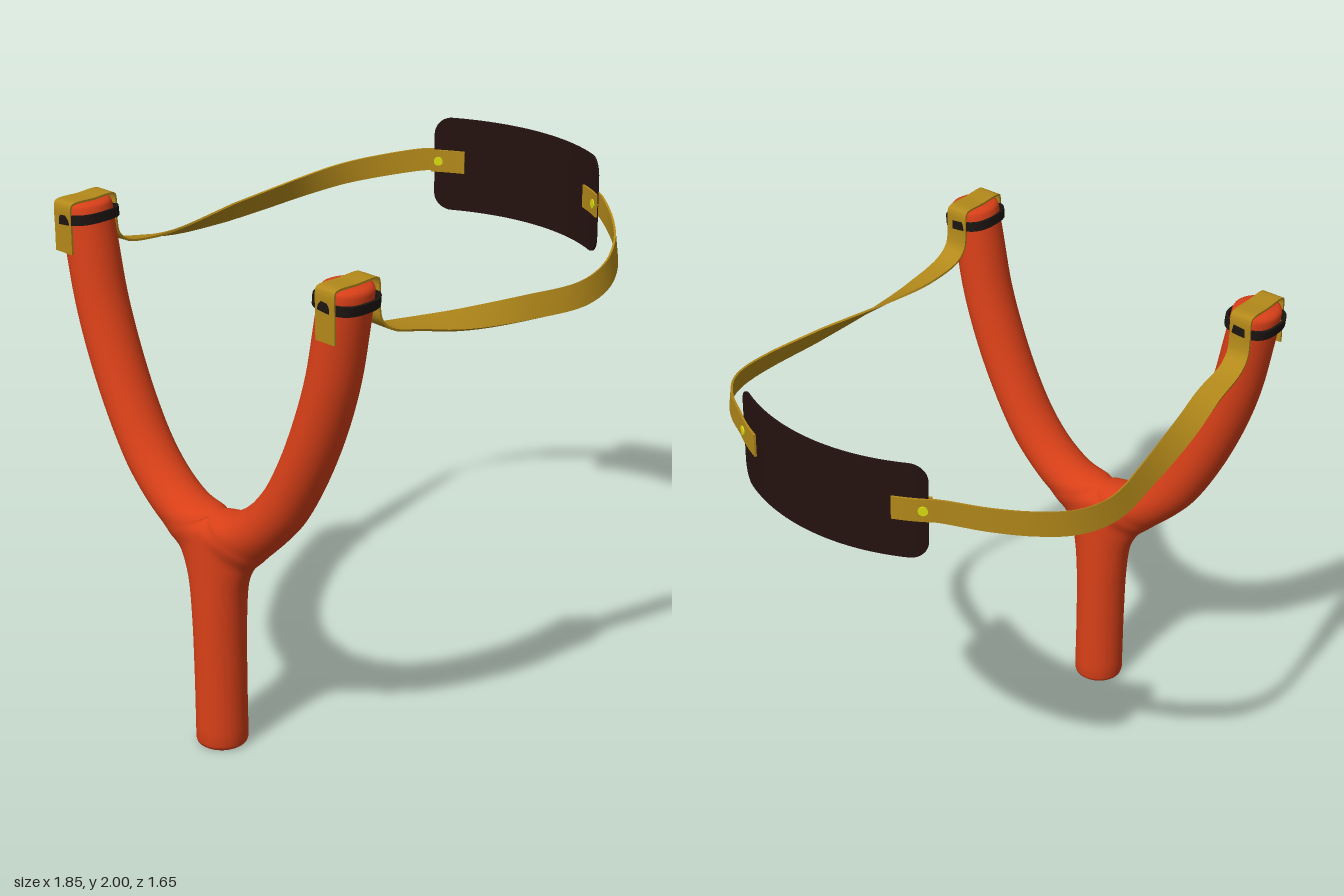
import * as THREE from 'three';
import { mergeVertices, toCreasedNormals } from 'three/addons/utils/BufferGeometryUtils.js';

const V = (x, y, z) => new THREE.Vector3(x, y, z);
const mat = (color) => new THREE.MeshStandardMaterial({ color });
const POUCH = { cx: 0.152, r: 0.768, y: 1.81 }; // centre and radius of the pouch arc

// Triangles over rows of points; s = -1 mirrors across z
function grid(rows, s = 1) {
  const pos = [], index = [], n = rows[0].length;
  rows.forEach((row) => row.forEach((p) => pos.push(p.x, p.y, p.z * s)));
  for (let i = 0; i < rows.length - 1; i++) {
    for (let j = 0; j < n - 1; j++) {
      const a = i * n + j, b = a + n;
      if (s > 0) index.push(a, a + 1, b, a + 1, b + 1, b);
      else index.push(a, b, a + 1, a + 1, b, b + 1);
    }
  }
  const g = new THREE.BufferGeometry();
  g.setAttribute('position', new THREE.Float32BufferAttribute(pos, 3));
  g.setIndex(index);
  return g;
}

// Thin rectangular sweep through stations {p: centre, t: tangent, w: width direction, h: half width}
function ribbon(stations, half, s = 1) {
  const rows = stations.map(({ p, t, w, h }) => {
    const side = w.clone().addScaledVector(t, -w.dot(t)).normalize();
    const n = t.clone().cross(side);
    return [[1, 1], [-1, 1], [-1, -1], [1, -1], [1, 1]].map(([a, b]) =>
      p.clone().addScaledVector(side, a * h).addScaledVector(n, b * half));
  });
  const cap = (st) => Array.from({ length: 5 }, () => st.p.clone());
  rows.unshift(cap(stations[0]));
  rows.push(cap(stations[stations.length - 1]));
  return toCreasedNormals(grid(rows, s), 0.6);
}

// Station on the pouch arc at angle a
const arcStation = (a, r, y, h) => ({
  p: V(POUCH.cx + r * Math.cos(a), y, r * Math.sin(a)),
  t: V(-Math.sin(a), 0, Math.cos(a)), w: V(0, 1, 0), h,
});

// Y-shaped frame: each station spans an outer edge to an inner edge;
// the sweep angle grows from a half to a full ellipse where the arms part
function forkGeometry() {
  const keys = [ // outer z, y, inner z, y, sweep / PI, half depth
    [0.098, 0.02, 0, 0.02, 0.5, 0.098], [0.098, 0.3, 0, 0.3, 0.5, 0.098],
    [0.104, 0.52, 0, 0.55, 0.5, 0.1], [0.125, 0.66, 0, 0.73, 0.5, 0.1],
    [0.17, 0.75, 0, 0.85, 0.5, 0.1], [0.22, 0.8, 0, 0.92, 0.75, 0.1],
    [0.25, 0.83, 0, 0.95, 1, 0.1], [0.29, 0.868, 0.09, 0.968, 1, 0.1],
    [0.355, 0.932, 0.19, 1.03, 1, 0.1], [0.43, 1.02, 0.286, 1.135, 1, 0.1],
    [0.535, 1.2, 0.37, 1.28, 1, 0.1], [0.625, 1.4, 0.45, 1.47, 1, 0.1],
    [0.69, 1.6, 0.507, 1.645, 1, 0.1], [0.73, 1.8, 0.545, 1.825, 1, 0.1],
    [0.755, 1.955, 0.575, 1.97, 1, 0.1],
  ];
  const curve = (f) => new THREE.CatmullRomCurve3(keys.map(f));
  const outer = curve((k) => V(k[0], k[1], k[5]));
  const inner = curve((k) => V(k[2], k[3], k[4]));
  const st = [];
  for (let i = 0; i <= 70; i++) {
    const o = outer.getPoint(i / 70), c = inner.getPoint(i / 70);
    st.push([o.x, o.y, c.x, c.y, THREE.MathUtils.clamp(c.z, 0.5, 1), o.z]);
  }
  // Rounded rims and end caps
  st.unshift([0, 0, 0, 0, 0.5, 0], [0.085, 0, 0, 0, 0.5, 0.085], [0.094, 0.007, 0, 0.007, 0.5, 0.094]);
  st.push([0.752, 1.97, 0.58, 1.98, 1, 0.095], [0.74, 1.978, 0.592, 1.985, 1, 0.082],
    [0.666, 1.982, 0.666, 1.982, 1, 0]);
  const rows = st.map(([oz, oy, iz, iy, sweep, r]) => {
    const max = sweep * Math.PI, row = [];
    for (let j = -16; j <= 16; j++) {
      const phi = (j / 16) * max;
      const k = (1 - Math.cos(phi)) / (1 - Math.cos(max));
      row.push(V(-0.815 + r * Math.sin(phi), oy + (iy - oy) * k, oz + (iz - oz) * k));
    }
    return row;
  });
  // Join both halves so that the shading is continuous across the middle
  const a = grid(rows), b = grid(rows, -1), n = a.attributes.position.count;
  const g = new THREE.BufferGeometry();
  g.setAttribute('position', new THREE.Float32BufferAttribute(
    [...a.attributes.position.array, ...b.attributes.position.array], 3));
  g.setIndex([...a.index.array, ...Array.from(b.index.array, (i) => i + n)]);
  return toCreasedNormals(mergeVertices(g, 1e-4), 0.8);
}

// Strap: tail behind the arm, over the tip, then a twisting run to the pouch
function strapGeometry(s) {
  const keys = [ // x, y, z, twist in degrees
    [-0.921, 1.8, 0.667, 0], [-0.921, 1.9, 0.667, 0], [-0.921, 1.975, 0.667, 0],
    [-0.914, 1.987, 0.667, 0], [-0.815, 1.988, 0.667, 0], [-0.716, 1.987, 0.667, 0],
    [-0.708, 1.975, 0.667, 0], [-0.706, 1.88, 0.667, 0], [-0.695, 1.83, 0.668, 0],
    [-0.65, 1.79, 0.671, 2], [-0.5, 1.757, 0.681, 12], [-0.3, 1.728, 0.718, 35],
    [0, 1.71, 0.772, 62], [0.25, 1.703, 0.805, 72], [0.42, 1.723, 0.777, 76],
    [0.56, 1.757, 0.703, 80], [0.68, 1.79, 0.59, 85],
  ];
  for (const z of [0.45, 0.41, 0.36, 0.31]) {
    const a = Math.asin(z / 0.776);
    keys.push([POUCH.cx + 0.776 * Math.cos(a), 1.822, z, 90]);
  }
  const path = new THREE.CatmullRomCurve3(keys.map((k) => V(k[0], k[1], k[2])));
  const stations = [], N = (keys.length - 1) * 5;
  for (let i = 0; i <= N; i++) {
    const u = (i / N) * (keys.length - 1), k = Math.min(Math.floor(u), keys.length - 2);
    const a = THREE.MathUtils.degToRad(THREE.MathUtils.lerp(keys[k][3], keys[k + 1][3], u - k));
    stations.push({ p: path.getPoint(i / N), t: path.getTangent(i / N),
      w: V(0, Math.sin(a), -Math.cos(a)), h: 0.045 });
  }
  return ribbon(stations, 0.004, s);
}

// Pouch: curved panel with rounded corners
function pouchGeometry() {
  const max = 0.578, stations = [], c = 0.07;
  for (let i = 0; i <= 60; i++) {
    const a = -max * Math.cos((i / 60) * Math.PI);
    const d = Math.min(c, (max - Math.abs(a)) * POUCH.r);
    const h = 0.12 + Math.sqrt(Math.max(0, c * c - (c - d) ** 2));
    stations.push(arcStation(a, POUCH.r, POUCH.y, h));
  }
  return ribbon(stations, 0.004);
}

// Tie: flat ring with a squarish oval outline
function tieGeometry() {
  const oval = (a, b) => Array.from({ length: 40 }, (_, i) => {
    const t = (i / 40) * Math.PI * 2, e = (v) => Math.sign(v) * Math.abs(v) ** 0.75;
    return new THREE.Vector2(a * e(Math.cos(t)), b * e(Math.sin(t)));
  });
  const shape = new THREE.Shape(oval(0.113, 0.1));
  shape.holes.push(new THREE.Path(oval(0.104, 0.09)));
  const g = new THREE.ExtrudeGeometry(shape, { depth: 0.036, bevelEnabled: false });
  return g.translate(0, 0, -0.018).rotateX(-Math.PI / 2);
}

export function createModel() {
  const model = new THREE.Group();
  model.name = 'slingshot';
  const add = (name, geometry, material) => {
    const m = new THREE.Mesh(geometry, material);
    m.name = name;
    model.add(m);
    return m;
  };
  const strapMat = mat(0xb3891a), tieMat = mat(0x1c1512), rivetMat = mat(0xd8dc10);

  add('forkFrame', forkGeometry(), mat(0xd94018));
  add('pouch', pouchGeometry(), mat(0x24120f));

  for (const s of [1, -1]) {
    const side = s > 0 ? 'left' : 'right';
    add(side + 'Strap', strapGeometry(s), strapMat);

    // Folded strap end on the inside of the pouch
    const fold = [];
    for (let i = 0; i <= 6; i++) fold.push(arcStation(0.415 + i * 0.03, 0.76, 1.822, 0.045));
    add(side + 'StrapFold', ribbon(fold, 0.004, s), strapMat);

    // Rivet through the strap and pouch
    const a = 0.555 * s;
    const rivet = add(side + 'Rivet', new THREE.CylinderGeometry(0.018, 0.018, 0.034, 20).rotateZ(Math.PI / 2), rivetMat);
    rivet.rotation.y = -a;
    rivet.position.set(POUCH.cx + POUCH.r * Math.cos(a), 1.822, POUCH.r * Math.sin(a));

    // Tie around the arm tip
    const tie = add(side + 'Tie', tieGeometry(), tieMat);
    tie.position.set(-0.814, 1.926, 0.661 * s);
    tie.rotation.x = 0.1 * s;
  }
  return model;
}
